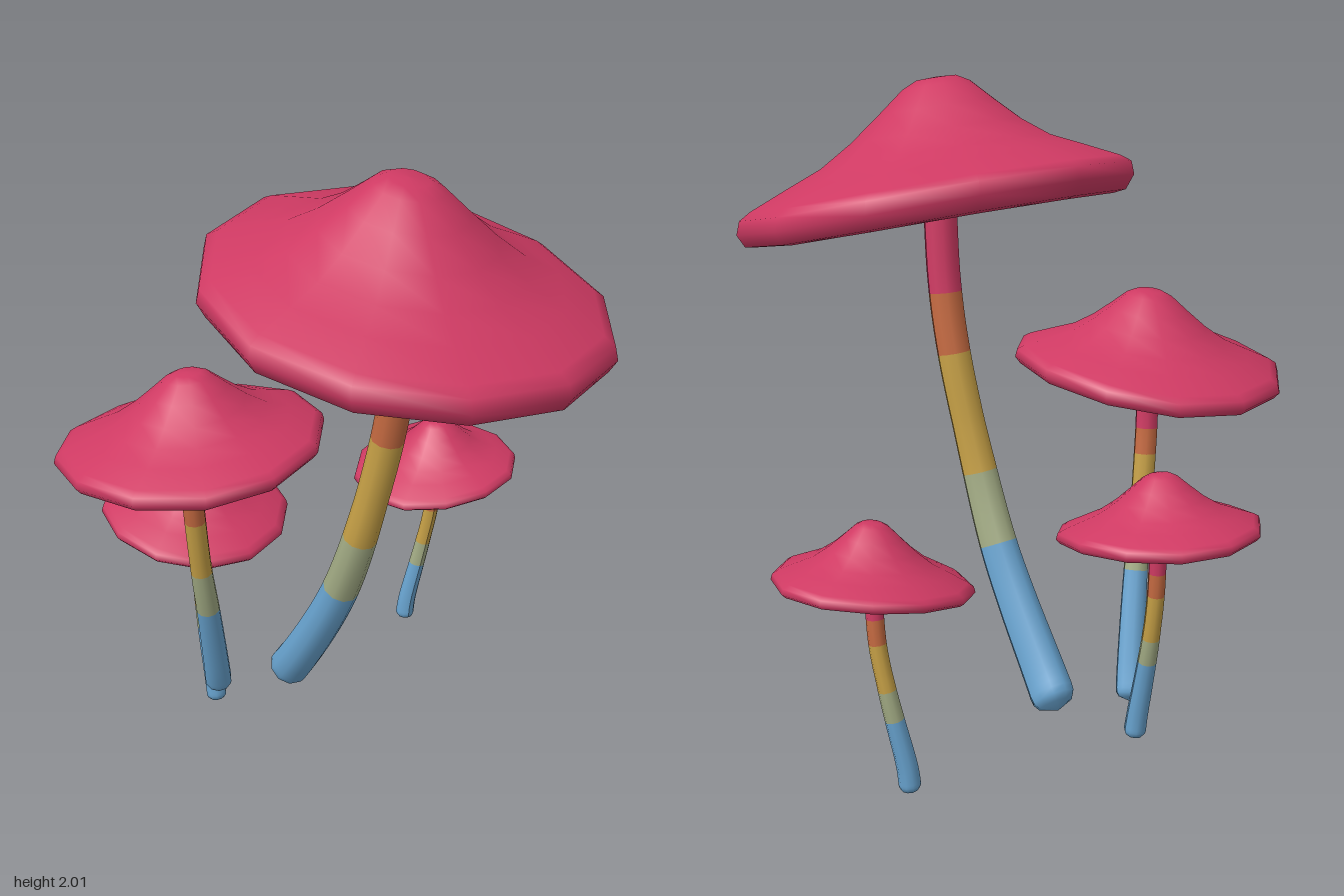
import * as THREE from 'three';

const mat = (name, color) => {
  const m = new THREE.MeshStandardMaterial({ color });
  m.name = name;
  return m;
};

// Cap outline from the underside centre, round the lip, up to the tip:
// [share of radius, share of height below the tip]; the lip depth is added where marked
const capProfile = [
  [0, 0.8, 0], [0.5, 0.9, 0.3], [0.9, 1.0, 1], [0.96, 1.0, 0.9], [1, 1.0, 0.25], [0.985, 0.93, 0],
  [0.93, 0.87, 0], [0.75, 0.74, 0], [0.58, 0.62, 0], [0.43, 0.45, 0], [0.29, 0.25, 0],
  [0.17, 0.07, 0], [0.1, 0.01, 0], [0, 0, 0],
];

// Twelve-sided cap, slanted along x and z and slightly saddle-shaped
function makeCap({ tip, radius, height, lip, slant, saddle, turn }, material) {
  const points = capProfile.map(([r, d, l]) => new THREE.Vector2(r * radius, -d * height - l * lip));
  const geo = new THREE.LatheGeometry(points, 12, THREE.MathUtils.degToRad(-turn));
  geo.applyMatrix4(new THREE.Matrix4().set(
    1, 0, 0, 0,
    slant[0], 1, slant[1], 0,
    0, 0, 1, 0,
    0, 0, 0, 1));
  const pos = geo.attributes.position;
  for (let i = 0; i < pos.count; i++) {
    const x = pos.getX(i), z = pos.getZ(i);
    pos.setY(i, pos.getY(i) + saddle * (x * x - z * z) / (radius * radius));
  }
  const cap = new THREE.Mesh(geo, material);
  cap.name = 'cap';
  cap.position.set(...tip);
  return cap;
}

// Curved tapering stem with a rounded foot, coloured in bands by height
function makeStem({ path, foot, top, bands }, materials) {
  const curve = new THREE.CatmullRomCurve3(path.map(p => new THREE.Vector3(...p)));
  const rings = 80, sides = 10, length = curve.getLength();
  const geo = new THREE.TubeGeometry(curve, rings, 1, sides, false);
  const pos = geo.attributes.position;
  const v = new THREE.Vector3();
  const bandOf = [];
  for (let j = 0; j <= rings; j++) {
    const t = j / rings, centre = curve.getPointAt(t);
    const near = Math.min(1, t * length / (foot * 0.8));
    const r = THREE.MathUtils.lerp(foot, top, Math.min(1, t * 1.8)) * Math.sqrt(1 - (1 - near) ** 2);
    for (let i = 0; i <= sides; i++) {
      const k = j * (sides + 1) + i;
      v.fromBufferAttribute(pos, k).sub(centre).multiplyScalar(r).add(centre);
      pos.setXYZ(k, v.x, v.y, v.z);
    }
    if (j < rings) {
      const y = curve.getPointAt((j + 0.5) / rings).y;
      bandOf.push(bands.filter(b => y > b).length);
    }
  }
  geo.computeVertexNormals();
  // One material group per run of rings in the same band
  for (let j = 0, start = 0; j < rings; j++) {
    if (j === rings - 1 || bandOf[j + 1] !== bandOf[j]) {
      geo.addGroup(start * sides * 6, (j + 1 - start) * sides * 6, bandOf[j]);
      start = j + 1;
    }
  }
  const stem = new THREE.Mesh(geo, materials);
  stem.name = 'stem';
  return stem;
}

const mushrooms = [
  {
    name: 'tallMushroom',
    cap: { tip: [0.12, 2.0, 0.185], radius: 0.62, height: 0.36, lip: 0.065, slant: [-0.09, -0.174], saddle: -0.015, turn: 9 },
    stem: {
      path: [[-0.075, 0.1, -0.335], [-0.06, 0.2, -0.255], [-0.02, 0.4, -0.13], [0.01, 0.56, -0.05],
        [0.04, 0.775, 0.03], [0.095, 1.15, 0.112], [0.112, 1.38, 0.152], [0.116, 1.68, 0.18]],
      foot: 0.072, top: 0.053, bands: [0.56, 0.775, 1.155, 1.345],
    },
  },
  {
    name: 'middleMushroom',
    cap: { tip: [-0.445, 1.365, -0.157], radius: 0.417, height: 0.24, lip: 0.03, slant: [0.08, 0.06], saddle: 0.015, turn: 13 },
    stem: {
      path: [[-0.315, 0.095, -0.345], [-0.335, 0.2, -0.305], [-0.385, 0.48, -0.225], [-0.412, 0.64, -0.195],
        [-0.435, 0.84, -0.17], [-0.444, 0.95, -0.16], [-0.446, 1.16, -0.153]],
      foot: 0.046, top: 0.035, bands: [0.48, 0.64, 0.84, 0.93],
    },
  },
  {
    name: 'backMushroom',
    cap: { tip: [-0.325, 0.89, -0.495], radius: 0.31, height: 0.185, lip: 0.02, slant: [-0.015, -0.13], saddle: 0.012, turn: 14 },
    stem: {
      path: [[-0.305, 0.0, -0.4], [-0.31, 0.08, -0.41], [-0.317, 0.2, -0.433], [-0.322, 0.35, -0.465],
        [-0.326, 0.5, -0.485], [-0.326, 0.73, -0.495]],
      foot: 0.035, top: 0.027, bands: [0.27, 0.35, 0.5, 0.57],
    },
  },
  {
    name: 'sideMushroom',
    cap: { tip: [0.572, 0.86, -0.512], radius: 0.286, height: 0.18, lip: 0.015, slant: [0.115, -0.05], saddle: -0.008, turn: 18 },
    stem: {
      path: [[0.49, 0.045, -0.57], [0.498, 0.12, -0.568], [0.53, 0.27, -0.557], [0.548, 0.36, -0.548],
        [0.569, 0.5, -0.53], [0.575, 0.7, -0.512]],
      foot: 0.033, top: 0.026, bands: [0.27, 0.36, 0.505, 0.575],
    },
  },
];

export function createModel() {
  const crimson = mat('crimson', 0xcf3a63);
  const bands = [
    mat('sky blue', 0x68a3cf), mat('sage', 0xa2ab84), mat('mustard', 0xc6a046),
    mat('burnt orange', 0xc56a41), crimson,
  ];
  const model = new THREE.Group();
  model.name = 'mushroomCluster';
  for (const { name, cap, stem } of mushrooms) {
    const group = new THREE.Group();
    group.name = name;
    group.add(makeStem(stem, bands), makeCap(cap, crimson));
    model.add(group);
  }
  return model;
}
